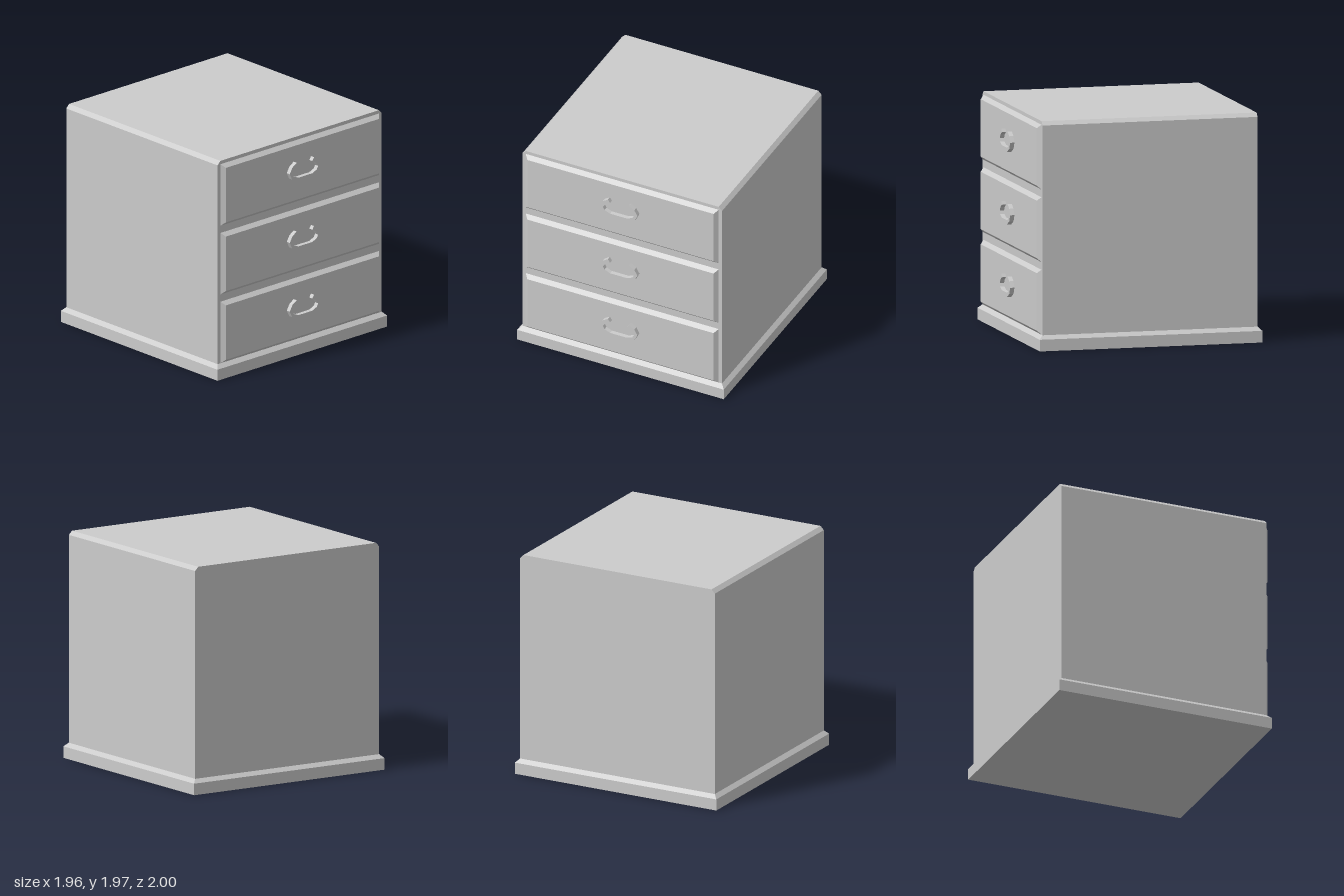
import * as THREE from 'three';

const material = new THREE.MeshStandardMaterial({ color: 0xcccccc, flatShading: true });

function add(parent, name, geometry) {
  const mesh = new THREE.Mesh(geometry, material);
  mesh.name = name;
  parent.add(mesh);
  return mesh;
}

function extrude(points, depth) {
  const shape = new THREE.Shape(points.map(([x, y]) => new THREE.Vector2(x, y)));
  return new THREE.ExtrudeGeometry(shape, { depth, bevelEnabled: false });
}

// Box whose +axis face is drawn in by inset on all four sides
function taperedBox(w, h, d, axis, inset) {
  const geometry = new THREE.BoxGeometry(w, h, d);
  const pos = geometry.attributes.position;
  const p = new THREE.Vector3();
  for (let i = 0; i < pos.count; i++) {
    p.fromBufferAttribute(pos, i);
    if (p[axis] > 0) {
      for (const a of ['x', 'y', 'z']) if (a !== axis) p[a] -= Math.sign(p[a]) * inset;
    }
    pos.setXYZ(i, p.x, p.y, p.z);
  }
  geometry.computeVertexNormals();
  return geometry;
}

export function createModel() {
  const model = new THREE.Group();
  model.name = 'chestOfDrawers';

  // Plinth with a sloped upper edge
  add(model, 'plinth', new THREE.BoxGeometry(1.96, 0.1, 1.962)).position.set(0, 0.05, -0.019);
  add(model, 'plinthBevel', taperedBox(1.96, 0.033, 1.962, 'y', 0.033)).position.set(0, 0.1165, -0.019);

  // Cabinet, chamfered along its two upper side edges
  const cabinet = [[-0.947, 0.133], [0.947, 0.133], [0.947, 1.932], [0.915, 1.965], [-0.915, 1.965], [-0.947, 1.932]];
  add(model, 'cabinet', extrude(cabinet, 1.895)).position.z = -0.967;

  // Half of the open-topped pull, relative to the drawer centre
  const outer = [[0.1, 0.107], [0.15, 0.075], [0.18, 0.023], [0.153, -0.033], [0.08, -0.07]];
  const inner = [[0.08, 0.077], [0.123, 0.053], [0.147, 0.017], [0.132, -0.011], [0.08, -0.033]];
  const mirror = (points) => points.map(([x, y]) => [-x, y]);
  const pull = [...outer, ...mirror(outer).reverse(), ...mirror(inner), ...inner.slice().reverse()];

  // Three drawers, each a bevelled front with a pull
  for (let i = 0; i < 3; i++) {
    const drawer = new THREE.Group();
    drawer.name = 'drawer' + (i + 1);
    drawer.position.y = 0.412 + i * 0.622;
    add(drawer, 'drawerFront', taperedBox(1.83, 0.557, 0.034, 'z', 0.032)).position.z = 0.945;
    add(drawer, 'handle', extrude(pull, 0.039)).position.z = 0.961;
    model.add(drawer);
  }

  return model;
}
